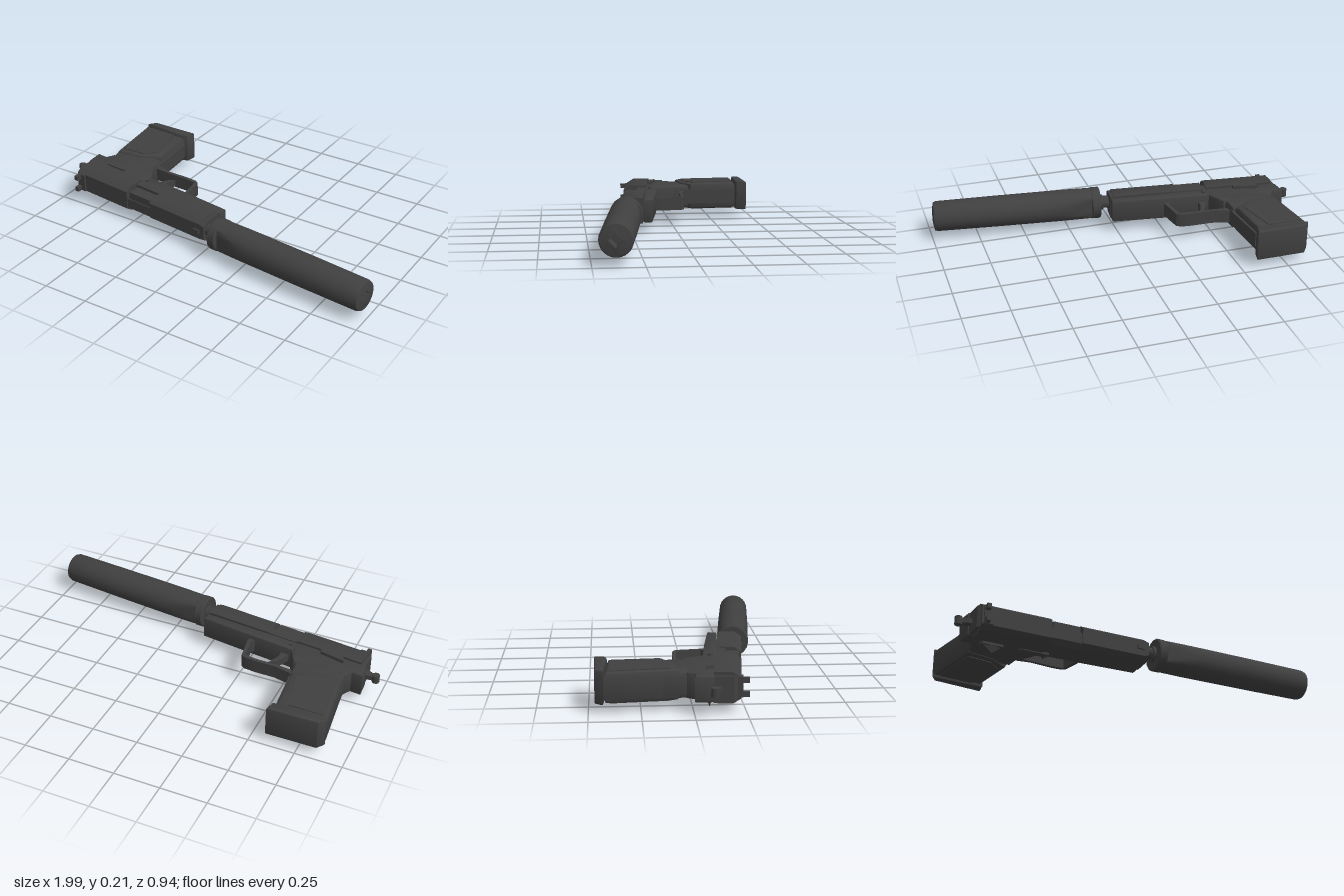
import * as THREE from 'three';
import { toCreasedNormals } from 'three/addons/utils/BufferGeometryUtils.js';

const MID = 0.125; // height of the centre plane, the pistol lies on its side
const AXIS = 0.274; // z of the bore

export function createModel() {
  const gunmetal = new THREE.MeshStandardMaterial({ color: 0x404040 });
  gunmetal.name = 'gunmetal';
  const model = new THREE.Group();
  model.name = 'silencedPistol';
  const pistol = new THREE.Group();
  pistol.name = 'pistol';
  pistol.rotation.y = -0.114;
  model.add(pistol);

  const add = (name, geometry) => {
    const mesh = new THREE.Mesh(toCreasedNormals(geometry, 0.6), gunmetal);
    mesh.name = name;
    pistol.add(mesh);
    return mesh;
  };
  const outline = (pts) => new THREE.Shape(pts.map(([a, b]) => new THREE.Vector2(a, b)));

  // Side profile in x and z, thickened in y, with chamfered rims
  const plate = (name, pts, y0, y1, bevel = 0) => {
    const g = new THREE.ExtrudeGeometry(outline(pts), {
      depth: y1 - y0 - 2 * bevel, bevelEnabled: bevel > 0, bevelSize: bevel,
      bevelThickness: bevel, bevelOffset: -bevel, bevelSegments: 2, curveSegments: 6,
    });
    g.rotateX(Math.PI / 2);
    g.translate(0, y1 - bevel, 0);
    return add(name, g);
  };

  // Cross-section in y and z, drawn along x
  const bar = (name, pts, x0, x1) => {
    const g = new THREE.ExtrudeGeometry(outline(pts), { depth: x1 - x0, bevelEnabled: false });
    g.applyMatrix4(new THREE.Matrix4().makeBasis(
      new THREE.Vector3(0, 1, 0), new THREE.Vector3(0, 0, 1), new THREE.Vector3(1, 0, 0)));
    g.translate(x0, MID, 0);
    return add(name, g);
  };

  const box = (name, x0, x1, y0, y1, z0, z1) => {
    const g = new THREE.BoxGeometry(x1 - x0, y1 - y0, z1 - z0);
    g.translate((x0 + x1) / 2, (y0 + y1) / 2, (z0 + z1) / 2);
    return add(name, g);
  };

  // Round part along the bore, profile as [x, radius]
  const turned = (name, profile, sides, rule) => {
    const g = new THREE.LatheGeometry(profile.map(([x, r]) => new THREE.Vector2(r, x)), sides);
    g.rotateZ(-Math.PI / 2);
    const p = g.attributes.position;
    const v = new THREE.Vector3();
    if (rule) for (let i = 0; i < p.count; i++) {
      rule(v.fromBufferAttribute(p, i));
      p.setXYZ(i, v.x, v.y, v.z);
    }
    g.translate(0, MID, AXIS);
    return add(name, g);
  };

  // Suppressor: flats taper the rear, the muzzle has a diamond bore
  turned('suppressor', [
    [0.13, 0], [0.13, 0.085], [0.2, 0.086], [0.27, 0.087], [0.34, 0.087], [0.66, 0.086],
    [1.005, 0.083], [1.02, 0.077], [1.023, 0.06], [1.028, 0.036], [0.93, 0.036], [0.93, 0],
  ], 24, (v) => {
    const r = Math.hypot(v.y, v.z);
    if (r > 0 && r < 0.05) {
      const k = r / (Math.abs(v.y) + Math.abs(v.z));
      v.y *= k;
      v.z *= k;
    }
    const flat = THREE.MathUtils.mapLinear(v.x, 0.13, 0.34, 0.06, 0.088);
    if (v.x < 0.34) v.z = THREE.MathUtils.clamp(v.z, -flat, flat);
  });
  turned('suppressorCollar', [
    [0.097, 0], [0.097, 0.083], [0.102, 0.088], [0.142, 0.088], [0.147, 0.083], [0.147, 0],
  ], 16);
  turned('threadCollar', [[0.08, 0], [0.08, 0.043], [0.1, 0.043], [0.1, 0]], 12);
  turned('barrel', [[-0.55, 0], [-0.55, 0.034], [0.09, 0.034], [0.09, 0]], 12);

  // Slide: rear, ejection port and front
  const slideSection = (h) => [
    [-h, 0.19], [h, 0.19], [h, 0.285], [h - 0.025, 0.322], [0.025 - h, 0.322], [-h, 0.285]];
  bar('slideRear', slideSection(0.076), -0.875, -0.5);
  bar('slidePort', [
    [-0.07, 0.19], [0.066, 0.19], [0.066, 0.24], [0.01, 0.24], [0.01, 0.316],
    [-0.045, 0.316], [-0.07, 0.285]], -0.5, -0.33);
  box('chamberBlock', -0.49, -0.34, 0.1, 0.176, 0.235, 0.31);
  bar('slideFront', slideSection(0.069), -0.33, 0.03);
  bar('muzzleBushing', slideSection(0.063), 0.03, 0.047);

  // Sights
  box('rearSightBase', -0.865, -0.815, 0.075, 0.175, 0.318, 0.332);
  for (const s of [-1, 1]) {
    const y = MID + s * 0.035;
    box('rearSightPost', -0.862, -0.84, y - 0.013, y + 0.013, 0.33, 0.362);
  }
  box('frontSight', -0.02, 0.02, 0.115, 0.135, 0.32, 0.332);

  // Frame with beavertail and dust cover
  plate('frame', [
    [-0.92, 0.105], [-0.905, 0.195], [-0.875, 0.2], [-0.5, 0.2], [-0.5, 0.12],
    [-0.56, 0.03], [-0.84, 0.06], [-0.86, 0.105],
  ], 0.06, 0.19, 0.01);
  plate('dustCover', [
    [-0.52, 0.125], [-0.52, 0.195], [0.046, 0.186], [0.046, 0.136], [-0.24, 0.128],
  ], 0.063, 0.187, 0.008);
  plate('slideEndPlate', [
    [-0.9, 0.18], [-0.89, 0.29], [-0.87, 0.31], [-0.87, 0.18],
  ], 0.065, 0.185);

  // Grip, narrow at the neck, with side panels and front strap
  plate('gripNeck', [
    [-0.835, 0.1], [-0.557, 0.14], [-0.585, -0.06], [-0.865, -0.06],
  ], 0.06, 0.19, 0.02);
  plate('grip', [
    [-0.845, 0.03], [-0.7, 0.0], [-0.6, -0.07], [-0.65, -0.335], [-0.925, -0.32],
  ], 0.05, 0.203, 0.022);
  for (const [y0, y1] of [[0.046, 0.052], [0.201, 0.207]]) {
    plate('gripPanel', [
      [-0.83, -0.01], [-0.7, -0.03], [-0.64, -0.09], [-0.71, -0.315], [-0.895, -0.3],
    ], y0, y1);
  }
  plate('frontStrap', [
    [-0.6, -0.05], [-0.577, -0.03], [-0.585, -0.07], [-0.638, -0.325], [-0.66, -0.325],
  ], 0.085, 0.165);
  plate('magazineBase', [
    [-0.925, -0.325], [-0.9, -0.37], [-0.63, -0.402], [-0.636, -0.345], [-0.66, -0.336],
  ], 0.043, 0.212, 0.01);

  // Trigger guard and trigger
  plate('triggerGuard', [
    [-0.58, -0.034], [-0.48, -0.022], [-0.37, -0.034], [-0.305, -0.034], [-0.28, -0.02],
    [-0.244, 0.11], [-0.244, 0.135], [-0.285, 0.135], [-0.266, 0.11], [-0.298, -0.012],
    [-0.37, -0.014], [-0.48, -0.004], [-0.57, -0.004],
  ], 0.088, 0.162);
  plate('trigger', [
    [-0.49, 0.15], [-0.475, 0.09], [-0.455, 0.04], [-0.42, 0.008], [-0.432, 0.045],
    [-0.445, 0.09], [-0.435, 0.15],
  ], 0.105, 0.145);

  // Hammer with ring spur
  plate('hammerArm', [
    [-0.955, 0.192], [-0.955, 0.212], [-0.88, 0.24], [-0.88, 0.18],
  ], 0.112, 0.138);
  const spur = new THREE.CylinderGeometry(0.02, 0.02, 0.044, 10);
  spur.translate(-0.958, MID, 0.202);
  add('hammerSpur', spur);

  // Controls on the lower side: safety lever drawn out to a point, slide stop
  plate('safetyLever', [
    [-0.83, 0.155], [-0.82, 0.185], [-0.71, 0.185], [-0.71, 0.165],
  ], 0.038, 0.062);
  const tip = new THREE.ConeGeometry(0.04, 0.042, 4);
  tip.rotateX(Math.PI);
  tip.scale(1.3, 1, 0.35);
  tip.translate(-0.765, 0.021, 0.17);
  add('safetyThumbPad', tip);
  plate('slideStop', [
    [-0.62, 0.165], [-0.61, 0.19], [-0.46, 0.185], [-0.46, 0.155], [-0.5, 0.15],
  ], 0.045, 0.065);

  // Controls on the upper side
  plate('upperLever', [
    [-0.79, 0.15], [-0.77, 0.19], [-0.65, 0.185], [-0.65, 0.165],
  ], 0.188, 0.207);
  const pin = new THREE.CylinderGeometry(0.014, 0.014, 0.14, 10);
  pin.translate(-0.48, MID, 0.165);
  add('takedownPin', pin);

  return model;
}
